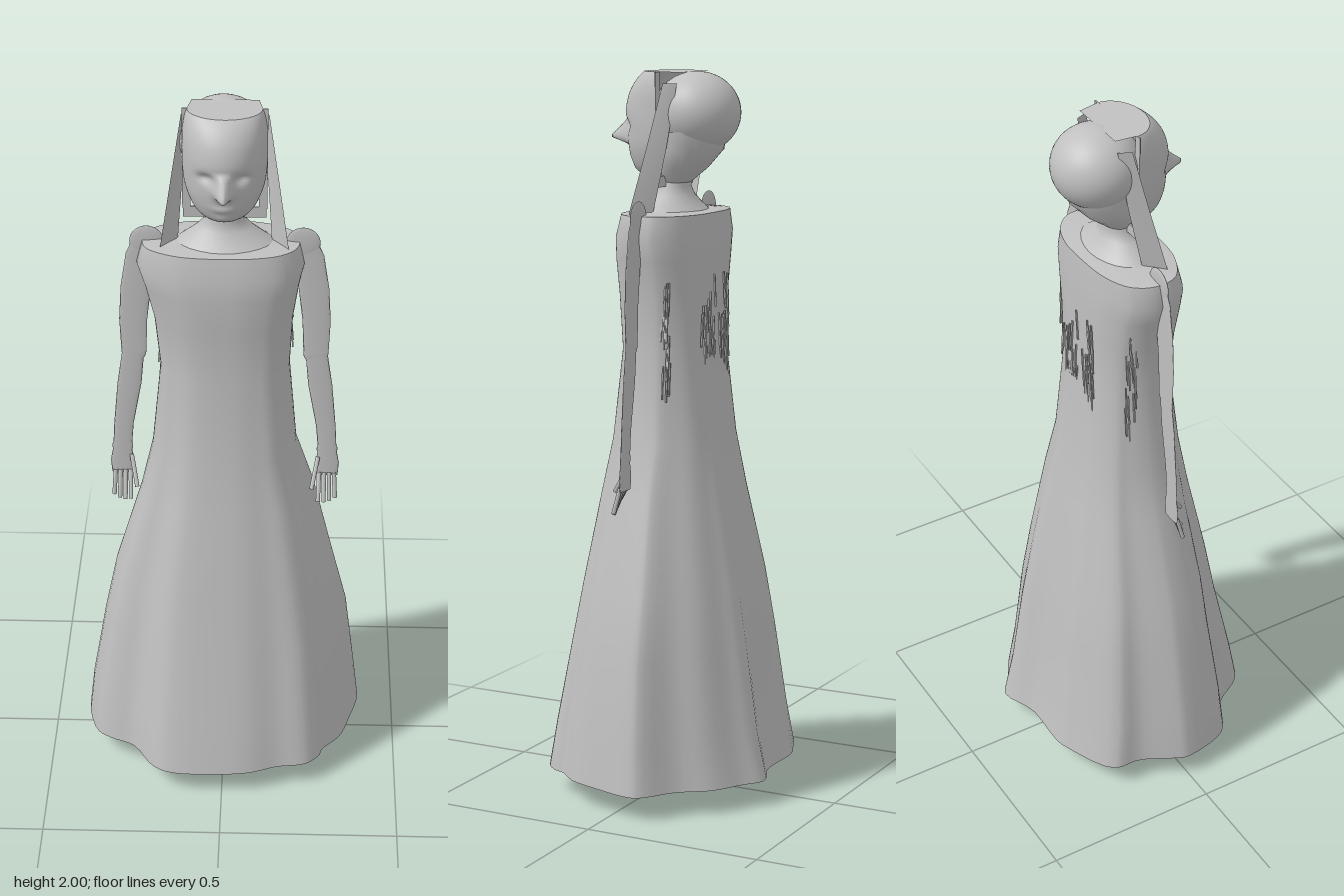
import * as THREE from 'three';

const grey = new THREE.MeshStandardMaterial({ color: 0xc0c0c0, side: THREE.DoubleSide });
grey.name = 'plain grey';

const TAU = Math.PI * 2;
const lerp = THREE.MathUtils.lerp;

// Smooth skin over a list of rings (rings run clockwise seen from below, bottom ring first)
function loft(rings, closed = true) {
  const n = rings[0].length, pos = [], idx = [];
  rings.forEach(r => r.forEach(p => pos.push(...p)));
  for (let j = 0; j < rings.length - 1; j++)
    for (let i = 0; i < (closed ? n : n - 1); i++) {
      const a = j * n + i, b = j * n + (i + 1) % n;
      idx.push(a, b, a + n, b, b + n, a + n);
    }
  const g = new THREE.BufferGeometry();
  g.setAttribute('position', new THREE.Float32BufferAttribute(pos, 3));
  g.setIndex(idx);
  g.computeVertexNormals();
  return g;
}

// Elliptical ring
function oval(x, y, z, rx, rz, n = 24) {
  return Array.from({ length: n }, (_, i) => {
    const a = -i / n * TAU;
    return [x + rx * Math.cos(a), y, z + rz * Math.sin(a)];
  });
}

export function createModel() {
  const model = new THREE.Group();
  model.name = 'gownedFigure';
  const add = (name, geo, parent = model) => {
    const m = new THREE.Mesh(geo, grey);
    m.name = name;
    parent.add(m);
    return m;
  };

  // Wavy hem outline (x, z)
  const hem = [[.1, -.33], [0, -.295], [-.15, -.295], [-.2, -.28], [-.33, -.21], [-.34, -.13], [-.385, -.04],
    [-.4, 0], [-.37, .13], [-.33, .165], [-.26, .2], [-.2, .29], [-.15, .32], [0, .325], [.08, .315], [.16, .285],
    [.24, .27], [.28, .23], [.29, .2], [.34, .14], [.37, .05], [.395, -.05], [.39, -.09], [.3, -.16], [.24, -.24], [.16, -.29]];
  const outline = new THREE.CatmullRomCurve3(hem.map(([x, z]) => new THREE.Vector3(x, 0, z)), true)
    .getPoints(96).slice(0, 96);

  // Dress: y, xMin, xMax, zBack, zFront, share of hem waviness
  const sections = [[.07, -.4, .395, -.33, .325, 1], [.2, -.385, .38, -.3, .3, .95], [.43, -.345, .352, -.265, .25, .85],
    [.6, -.31, .31, -.235, .22, .7], [.85, -.235, .25, -.185, .172, .5], [1, -.2, .2, -.157, .147, .35],
    [1.25, -.175, .178, -.127, .117, .2], [1.4, -.19, .185, -.125, .125, .15], [1.5, -.215, .2, -.125, .13, .1],
    [1.56, -.235, .213, -.122, .125, .1], [1.62, -.22, .2, -.118, .11, .1]];
  const power = v => Math.sign(v) * Math.abs(v) ** .8;
  const dressRings = sections.map(([y, x0, x1, z0, z1, t]) => outline.map(p => {
    const a = Math.atan2(p.z / .325, p.x / .4);
    const u = lerp(power(Math.cos(a)), p.x / (p.x > 0 ? .395 : .4), t);
    const v = lerp(power(Math.sin(a)), p.z / (p.z > 0 ? .325 : .33), t);
    return [u * (u > 0 ? x1 : -x0), y, v * (v > 0 ? z1 : -z0)];
  }));
  add('dress', loft(dressRings));
  const shrink = (ring, k, y) => ring.map(p => [p[0] * k, y, p[2] * k]);
  add('dressUnderside', loft([shrink(dressRings[0], 0, .075), dressRings[0]]));
  const top = dressRings.at(-1);
  add('dressTop', loft([top, shrink(top, .7, 1.625), shrink(top, 0, 1.63)]));

  // Neck flaring into the shoulders
  add('neck', loft([oval(0, 1.61, 0, .15, .1), oval(0, 1.635, 0, .115, .075), oval(0, 1.665, 0, .075, .052),
    oval(0, 1.69, 0, .052, .045), oval(0, 1.76, 0, .05, .045)]));

  // Back of the head
  const skull = add('backOfHead', new THREE.SphereGeometry(1, 40, 28));
  skull.scale.set(.12, .111, .12);
  skull.position.set(-.005, 1.889, -.067);
  add('nape', loft([oval(0, 1.7, -.005, .05, .04), oval(0, 1.74, -.02, .08, .075), oval(0, 1.79, -.045, .1, .095),
    oval(0, 1.84, -.05, .105, .1)]));

  // Face: y, half width, depth
  const profile = [[1.71, .04, .05], [1.718, .062, .088], [1.74, .083, .112], [1.77, .097, .124], [1.8, .106, .129],
    [1.84, .111, .131], [1.87, .112, .136], [1.9, .112, .136], [1.94, .111, .125], [1.97, .107, .107], [1.99, .102, .088], [2, .098, .075]];
  const curve = new THREE.CatmullRomCurve3(profile.map(p => new THREE.Vector3(...p)));
  const faceRings = curve.getPoints(55).map(p => Array.from({ length: 49 }, (_, i) => {
    const a = Math.PI * (1 - i / 48), x = p.y * Math.cos(a), y = p.x;
    const bump = (cx, cy, sx, sy) => Math.exp(-(((Math.abs(x) - cx) / sx) ** 2) - ((y - cy) / sy) ** 2);
    const noseLength = y < 1.82 ? Math.exp(-(((y - 1.82) / .016) ** 2)) : Math.max(0, 1 - (y - 1.82) / .055);
    const nose = .068 * noseLength * Math.exp(-((x / .02) ** 2));
    const z = p.z * Math.sin(a) + nose - .017 * bump(.045, 1.855, .022, .014)
      + .006 * bump(0, 1.768, .03, .008) + .006 * bump(0, 1.735, .03, .012);
    return [x, Math.min(y, 2), z];
  }));
  add('face', loft(faceRings, false));
  const brow = faceRings.at(-1);
  add('crown', loft([brow, brow.map(p => [p[0] * .9, 1.998, -.06])], false));
  add('chinUnderside', loft([faceRings[0].map(p => [p[0], 1.712, 0]), faceRings[0]], false));

  // Upright frame between face and back of head
  const frame = new THREE.Group();
  frame.name = 'headFrame';
  model.add(frame);
  add('frameBand', new THREE.BoxGeometry(.22, .03, .004), frame).position.set(0, 1.705, 0);
  for (const s of [-1, 1])
    add('frameSide', new THREE.BoxGeometry(.022, .285, .004), frame).position.set(s * .101, 1.857, 0);

  for (const s of [-1, 1]) {
    // Flat hair lock hanging beside the face
    add('sideLock', loft([[[s * .125, 1.62, 0], [s * .17, 1.62, .05]],
      [[s * .112, 1.8, -.035], [s * .142, 1.8, .01]], [[s * .1, 1.97, -.06], [s * .115, 1.97, -.025]]], false));

    // Flat, jointed arm: x, y, half width
    const arm = new THREE.Group();
    arm.name = s > 0 ? 'leftArm' : 'rightArm';
    model.add(arm);
    const limb = (name, rows) => add(name, loft(rows.map(([x, y, r]) => oval(s * x, y, 0, r, .004, 16))), arm);
    const joint = (name, x, y, r) => {
      const m = add(name, new THREE.SphereGeometry(r, 20, 14), arm);
      m.scale.z = .12;
      m.position.set(s * x, y, 0);
    };
    joint('shoulder', .208, 1.615, .046);
    limb('upperArm', [[.248, 1.28, .034], [.248, 1.38, .038], [.239, 1.48, .041], [.222, 1.58, .042], [.21, 1.62, .036]]);
    joint('elbow', .248, 1.28, .034);
    limb('forearm', [[.285, .98, .026], [.28, 1.05, .027], [.262, 1.18, .033], [.25, 1.28, .03]]);
    joint('wrist', .285, .975, .029);
    limb('palm', [[.286, .89, .03], [.286, .93, .033], [.286, .98, .024]]);

    // Fingers fan out and forward
    for (let i = 0; i < 5; i++) {
      const thumb = i === 0;
      const from = new THREE.Vector3(s * (thumb ? .26 : .25 + i * .014), thumb ? .95 : .9, .004);
      const to = new THREE.Vector3(s * (thumb ? .243 : .246 + i * .016), thumb ? .875 : .82 + Math.abs(i - 2.5) * .006, .055 - i * .008);
      add('finger', new THREE.TubeGeometry(new THREE.LineCurve3(from, to), 1, .006, 6), arm);
    }

    // Round-bottomed foot
    const footX = s > 0 ? .087 : -.103;
    const foot = add('foot', new THREE.CylinderGeometry(.038, .038, .155, 24));
    foot.rotation.x = Math.PI / 2 + .12;
    foot.position.set(footX, .05, .077);
  }

  // Thin hair strands showing through the back and sides of the dress
  const hair = new THREE.Group();
  hair.name = 'backHair';
  model.add(hair);
  let seed = 7;
  const random = () => (seed = seed * 16807 % 2147483647) / 2147483647;
  const strand = new THREE.BoxGeometry(.004, .09, .004);
  for (let i = 0; i < 70; i++) {
    const side = i % 2 ? 1 : -1, onBack = i < 40;
    const m = add('strand', strand, hair);
    m.position.set(side * (onBack ? random() * .085 : .168 + random() * .014), 1.15 + random() * .28,
      onBack ? -.126 : -.045 - random() * .03);
    m.rotation.z = side * .08;
  }
  return model;
}
